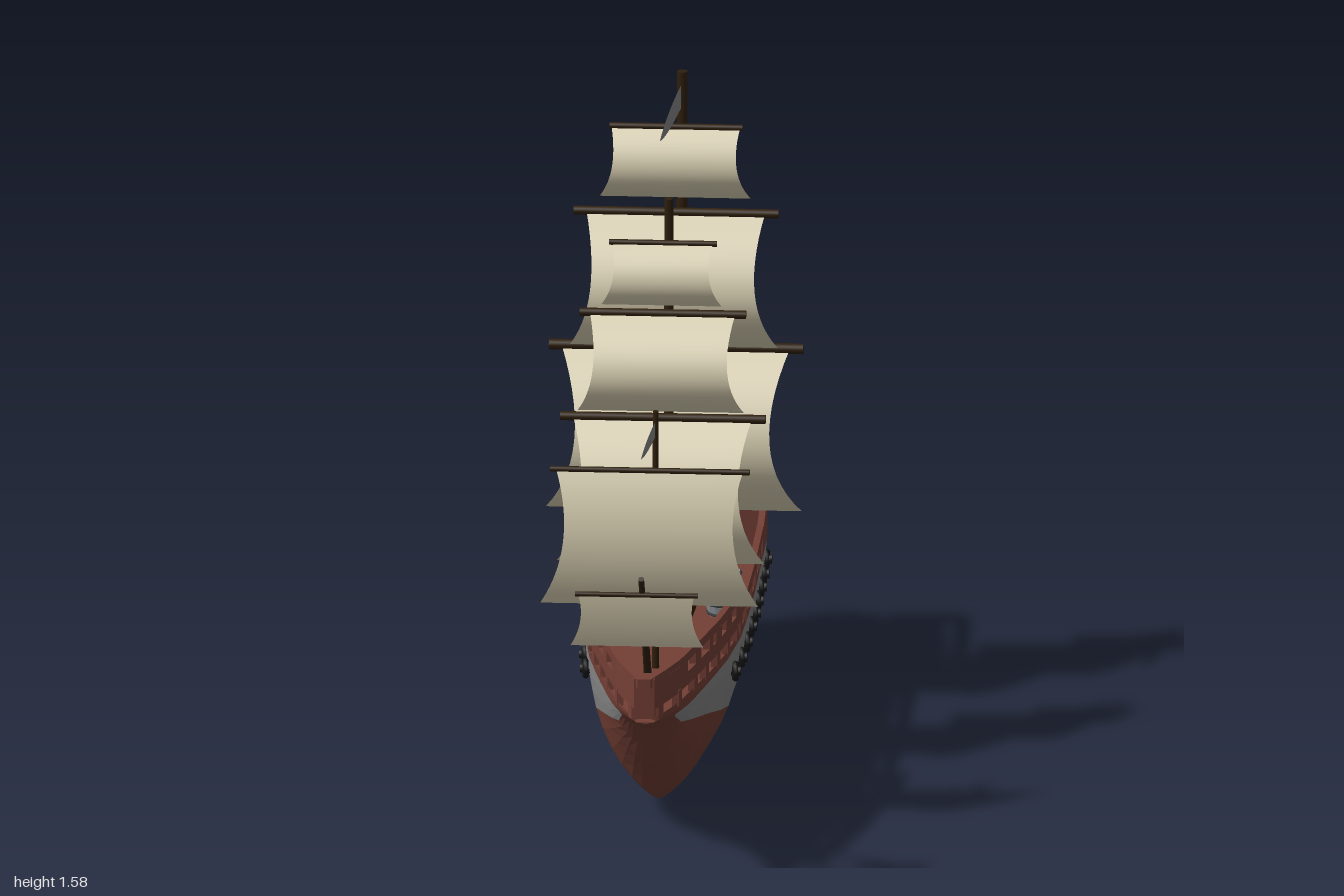
import * as THREE from 'three';

const mat = (name, color, opts = {}) => {
  const m = new THREE.MeshStandardMaterial({ color, ...opts });
  m.name = name;
  return m;
};
const two = { side: THREE.DoubleSide };
const flat = { side: THREE.DoubleSide, flatShading: true };

// Piecewise-linear lookup in a table of [z, value], z descending
const lookup = (table) => (z) => {
  if (z >= table[0][0]) return table[0][1];
  for (let i = 1; i < table.length; i++) {
    const [za, a] = table[i - 1], [zb, b] = table[i];
    if (z >= zb) return a + (b - a) * (za - z) / (za - zb);
  }
  return table[table.length - 1][1];
};

// Hull lines along z
const beam = lookup([[0.89, 0.012], [0.75, 0.07], [0.6, 0.108], [0.5, 0.132], [0.4, 0.155], [0.25, 0.18], [0.1, 0.192], [-0.2, 0.2], [-0.6, 0.203], [-1, 0.168]]);
const keel = lookup([[0.85, 0.4], [0.72, 0.345], [0.6, 0.215], [0.45, 0.09], [0.33, 0.04], [0.16, 0.018], [-0.2, 0.008], [-0.6, 0.003], [-0.8, 0.02], [-1, 0.085]]);
const sheer = lookup([[0.85, 0.42], [0.17, 0.415], [-0.4, 0.415], [-0.62, 0.43], [-1, 0.437]]);
const bandLow = lookup([[0.85, 0.405], [0.72, 0.38], [0.66, 0.345], [0.45, 0.3], [0.16, 0.222], [-0.2, 0.238], [-0.6, 0.235], [-0.8, 0.23], [-0.97, 0.29], [-1, 0.295]]);
const bandTop = lookup([[0.85, 0.41], [0.72, 0.385], [0.45, 0.395], [-0.4, 0.395], [-0.6, 0.405], [-1, 0.422]]);
const hullX = (z, t) => beam(z) * Math.pow(1 - Math.pow(1 - t, 2.2), 0.75);
const hullPoint = (z, y, s) => [s * hullX(z, (y - keel(z)) / (sheer(z) - keel(z))), y, z];
const STATIONS = [0.85, 0.78, 0.72, 0.66, 0.6, 0.52, 0.45, 0.33, 0.16, 0, -0.2, -0.4, -0.6, -0.8, -0.9, -0.97, -1];

// Surface through rows of points
function loft(rows) {
  const n = rows[0].length, index = [];
  for (let i = 0; i < rows.length - 1; i++) for (let j = 0; j < n - 1; j++) {
    const a = i * n + j, b = a + 1, c = a + n, d = c + 1;
    index.push(a, c, b, b, c, d);
  }
  const g = new THREE.BufferGeometry();
  g.setAttribute('position', new THREE.Float32BufferAttribute(rows.flat(2), 3));
  g.setIndex(index);
  g.computeVertexNormals();
  return g;
}

export function createModel() {
  const red = mat('hull wood', 0x743f35, flat);
  const grey = mat('grey plating', 0x868686, flat);
  const dark = mat('dark timber', 0x2f1f0c);
  const cloth = mat('sailcloth', 0xdcd3b5, two);
  const black = mat('port black', 0x141414);
  const orange = mat('light timber', 0xb5783c);
  const stave = mat('barrel staves', 0x8d9194, { flatShading: true });
  const hoopMat = mat('barrel hoops', 0x3c4042);

  const model = new THREE.Group();
  const ship = new THREE.Group();
  ship.name = 'ship';
  ship.position.x = 0.018;
  model.add(ship);

  const add = (name, geo, material, x = 0, y = 0, z = 0, parent = ship) => {
    const m = new THREE.Mesh(geo, material);
    m.name = name;
    m.position.set(x, y, z);
    parent.add(m);
    return m;
  };
  const box = (name, w, h, d, material, x, y, z) => add(name, new THREE.BoxGeometry(w, h, d), material, x, y, z);
  const spar = (name, a, b, r0, r1) => {
    const A = new THREE.Vector3(...a), B = new THREE.Vector3(...b), dir = B.clone().sub(A);
    const m = add(name, new THREE.CylinderGeometry(r1, r0, dir.length(), 10), dark);
    m.position.copy(A).add(B).multiplyScalar(0.5);
    m.quaternion.setFromUnitVectors(new THREE.Vector3(0, 1, 0), dir.normalize());
    return m;
  };

  // Hull below the band, then band and upper strake on each side
  const fracs = [0, 0.03, 0.1, 0.22, 0.38, 0.56, 0.78, 1];
  const sideRow = (z, s, lo, hi, fr) => fr.map((f) => hullPoint(z, lo + (hi - lo) * f, s));
  add('lowerHull', loft(STATIONS.map((z) => [
    ...sideRow(z, -1, keel(z), bandLow(z), fracs).reverse(), ...sideRow(z, 1, keel(z), bandLow(z), fracs).slice(1)])), red);
  for (const s of [-1, 1]) {
    const strake = (name, zs, lo, hi, m) => add(name, loft(zs.map((z) => sideRow(z, s, lo(z), hi(z), [0, 0.35, 0.7, 1]))), m);
    strake('greyBand', STATIONS.filter((z) => z <= 0.72 && z >= -0.97), bandLow, bandTop, grey);
    strake('bowCheek', STATIONS.filter((z) => z >= 0.72), bandLow, bandTop, red);
    strake('sternEdge', [-0.97, -1], bandLow, bandTop, red);
    strake('upperStrake', STATIONS, bandTop, sheer, red);
  }

  // Transom with a raised rim
  const outline = (k) => {
    const pts = [];
    for (let i = -12; i <= 12; i++) {
      const t = Math.pow(Math.abs(i) / 12, 1.6), mid = 0.27;
      const y = keel(-1) + t * (sheer(-1) - keel(-1));
      pts.push(new THREE.Vector2(Math.sign(i) * hullX(-1, t) * k, mid + (y - mid) * k));
    }
    return pts;
  };
  const rim = new THREE.Shape(outline(1));
  rim.holes.push(new THREE.Path(outline(0.87)));
  add('transomRim', new THREE.ExtrudeGeometry(rim, { depth: 0.012, bevelEnabled: false }), red, 0, 0, -1);
  add('transomPanel', new THREE.ShapeGeometry(new THREE.Shape(outline(0.98))), red, 0, 0, -0.99);

  // Decks and bulkheads
  const deck = (name, z0, z1, y) => {
    const rows = [];
    for (let i = 0; i <= 8; i++) {
      const z = z0 + (z1 - z0) * i / 8, w = beam(z) - 0.004;
      rows.push([[-w, y, z], [w, y, z]]);
    }
    add(name, loft(rows), red);
  };
  deck('foreDeck', 0.86, 0.165, 0.408);
  deck('mainDeck', 0.165, -0.62, 0.36);
  deck('poopDeck', -0.6, -0.985, 0.545);
  box('foreBulkhead', 0.36, 0.05, 0.01, red, 0, 0.383, 0.165);
  box('poopBulkhead', 0.39, 0.19, 0.015, red, 0, 0.452, -0.615);

  // Bulwarks: thick strips following the hull outline on both sides
  const T = 0.014;
  const strip = (name, z0, z1, lo, hi) => {
    const L = typeof lo === 'function' ? lo : () => lo, H = typeof hi === 'function' ? hi : () => hi;
    const n = Math.max(1, Math.ceil((z0 - z1) / 0.08));
    for (const s of [-1, 1]) {
      const rows = [];
      for (let i = 0; i <= n; i++) {
        const z = z0 + (z1 - z0) * i / n, o = s * (beam(z) + 0.002), k = s * Math.max(beam(z) - T, 0.002);
        rows.push([[o, L(z), z], [o, H(z), z], [k, H(z), z], [k, L(z), z], [o, L(z), z]]);
      }
      rows.unshift(rows[0].map(() => rows[0][0]), rows[0]);
      rows.push(rows[rows.length - 1], rows[rows.length - 1].map(() => rows[rows.length - 1][0]));
      add(name, loft(rows), red);
    }
  };
  // Forecastle
  strip('foreTopRail', 0.885, 0.175, 0.503, 0.525);
  strip('foreMidRail', 0.87, 0.175, 0.443, 0.476);
  for (const [a, b] of [[0.87, 0.67], [0.61, 0.565], [0.5, 0.47], [0.445, 0.4], [0.35, 0.295], [0.245, 0.175]])
    strip('forePanel', a, b, 0.47, 0.508);
  for (const z of [0.845, 0.74, 0.62, 0.53, 0.435, 0.335, 0.235])
    strip('forePost', z, z - 0.025, 0.41, 0.45);
  box('bowNose', 0.05, 0.1, 0.05, red, 0, 0.472, 0.85);
  // Waist
  strip('waistRail', 0.175, -0.45, 0.45, 0.476);
  for (const z of [0.175, 0.06, -0.07, -0.2, -0.33]) strip('waistPost', z, z - 0.03, 0.405, 0.46);
  strip('waistRise', -0.44, -0.62, 0.405, (z) => 0.468 + (-0.44 - z) * 0.24);
  // Poop
  const poopTop = (z) => 0.617 + (-0.62 - z) * 0.075;
  strip('poopSide', -0.62, -0.99, 0.42, 0.552);
  strip('poopRail', -0.62, -0.99, (z) => poopTop(z) - 0.022, poopTop);
  for (const [a, b] of [[-0.62, -0.675], [-0.71, -0.74], [-0.785, -0.81], [-0.86, -0.885], [-0.945, -0.99]])
    strip('poopPost', a, b, 0.545, (z) => poopTop(z) - 0.01);
  box('sternWall', 0.335, 0.125, 0.014, red, 0, 0.49, -0.984);
  box('sternRail', 0.34, 0.026, 0.016, red, 0, 0.632, -0.984);
  for (const x of [-0.15, -0.05, 0.05, 0.15]) box('sternPost', 0.035, 0.08, 0.014, red, x, 0.585, -0.984);

  // Gun ports
  for (const z of [0.25, 0.143, 0.025, -0.093, -0.195, -0.29, -0.394, -0.495, -0.608]) for (const s of [-1, 1]) {
    const x = hullPoint(z, 0.34, s)[0];
    add('gunPortRing', new THREE.TorusGeometry(0.019, 0.008, 6, 8), black, x + s * 0.004, 0.34, z).rotation.y = Math.PI / 2;
    add('gunBarrel', new THREE.CylinderGeometry(0.011, 0.012, 0.03, 8), black, x + s * 0.002, 0.34, z).rotation.z = Math.PI / 2;
  }

  // Masts and bowsprit
  spar('aftMast', [0, 0.35, -0.578], [0, 1.58, -0.578], 0.016, 0.013);
  spar('midMast', [0, 0.35, -0.067], [0, 1.427, -0.067], 0.013, 0.011);
  spar('foreMast', [0, 0.4, 0.44], [0, 1.057, 0.44], 0.009, 0.007);
  spar('bowsprit', [0, 0.47, 0.725], [0, 0.815, 0.995], 0.01, 0.007);

  // Sails: yard height, foot height, half widths (yard, head, waist, foot), z of head, belly and foot
  const rigs = [
    [0.89, 0.505, 0.306, 0.275, 0.235, 0.308, -0.558, -0.405, -0.48, 0.013],
    [1.23, 0.915, 0.247, 0.215, 0.198, 0.25, -0.558, -0.425, -0.485, 0.011],
    [1.446, 1.275, 0.16, 0.155, 0.15, 0.182, -0.558, -0.5, -0.535, 0.008],
    [0.878, 0.535, 0.247, 0.215, 0.19, 0.25, -0.05, 0.075, 0.02, 0.011],
    [1.142, 0.915, 0.2, 0.175, 0.162, 0.2, -0.05, 0.055, 0.015, 0.01],
    [1.32, 1.175, 0.13, 0.12, 0.116, 0.145, -0.05, 0.01, -0.01, 0.007],
    [0.91, 0.575, 0.24, 0.225, 0.205, 0.262, 0.452, 0.5, 0.465, 0.007],
    [0.765, 0.625, 0.148, 0.14, 0.135, 0.16, 0.965, 0.955, 0.935, 0.006],
  ];
  const quad = (a, b, c, t) => a * (1 - t) * (1 - 2 * t) + b * 4 * t * (1 - t) + c * t * (2 * t - 1);
  for (const [yTop, yFoot, wYard, w0, w1, w2, z0, z1, z2, r] of rigs) {
    const rows = [];
    for (let i = 0; i <= 14; i++) {
      const t = i / 14, w = quad(w0, w1, w2, t), y = yTop + (yFoot - yTop) * t, z = quad(z0, z1, z2, t);
      rows.push([[-w, y, z], [0, y, z], [w, y, z]]);
    }
    add('sail', loft(rows), cloth, -0.014);
    spar('yard', [-wYard - 0.013, yTop, z0], [wYard - 0.013, yTop, z0], r, r);
  }

  // Pennants
  const pennant = (len, h, y, z) => {
    const s = new THREE.Shape();
    s.moveTo(0, h);
    s.bezierCurveTo(len * 0.35, h * 0.9, len * 0.75, h * 0.6, len, h * 0.12);
    s.bezierCurveTo(len * 0.8, -h * 0.1, len * 0.4, 0, 0, h * 0.15);
    add('pennant', new THREE.ShapeGeometry(s), grey, 0, y, z).rotation.y = -Math.PI / 2 - 0.14;
  };
  pennant(0.265, 0.068, 1.482, -0.575);
  pennant(0.175, 0.045, 0.986, 0.44);

  // Deck barrels
  const barrel = (x, y, z, r, h) => {
    const pts = [[0, 0], [0.8, 0], [0.94, 0.25], [1, 0.5], [0.94, 0.75], [0.8, 1], [0.72, 1], [0.72, 0.94], [0, 0.94]];
    add('barrel', new THREE.LatheGeometry(pts.map(([a, b]) => new THREE.Vector2(a * r, b * h)), 14), stave, x, y, z);
    for (const [f, k] of [[0.06, 0.84], [0.3, 0.96], [0.7, 0.96], [0.95, 0.83]])
      add('barrelHoop', new THREE.TorusGeometry(r * k, 0.004, 5, 14), hoopMat, x, y + h * f, z).rotation.x = Math.PI / 2;
  };
  barrel(-0.105, 0.546, -0.715, 0.055, 0.125);
  barrel(0.13, 0.361, -0.122, 0.048, 0.11);

  // Overturned boat on the main deck
  const boat = add('deckBoat', new THREE.LatheGeometry([[0, -0.21], [0.044, -0.21], [0.057, -0.12], [0.064, 0], [0.057, 0.12], [0.044, 0.21], [0, 0.21]]
    .map(([a, b]) => new THREE.Vector2(a, b)), 16), dark, 0, 0.385, -0.16);
  boat.rotation.x = Math.PI / 2;
  box('boatChock', 0.12, 0.05, 0.025, red, 0, 0.385, -0.39);

  // Steering stand and wheel
  box('wheelStand', 0.05, 0.13, 0.04, orange, 0, 0.61, -0.805);
  box('wheelStep', 0.072, 0.03, 0.08, orange, 0, 0.56, -0.82);
  add('wheelRim', new THREE.TorusGeometry(0.042, 0.005, 6, 16), dark, 0, 0.648, -0.768);
  for (let i = 0; i < 4; i++)
    add('wheelSpoke', new THREE.CylinderGeometry(0.004, 0.004, 0.13, 6), dark, 0, 0.648, -0.768).rotation.z = i * Math.PI / 4;
  add('wheelHub', new THREE.CylinderGeometry(0.01, 0.01, 0.035, 8), dark, 0, 0.648, -0.775).rotation.x = Math.PI / 2;

  return model;
}
